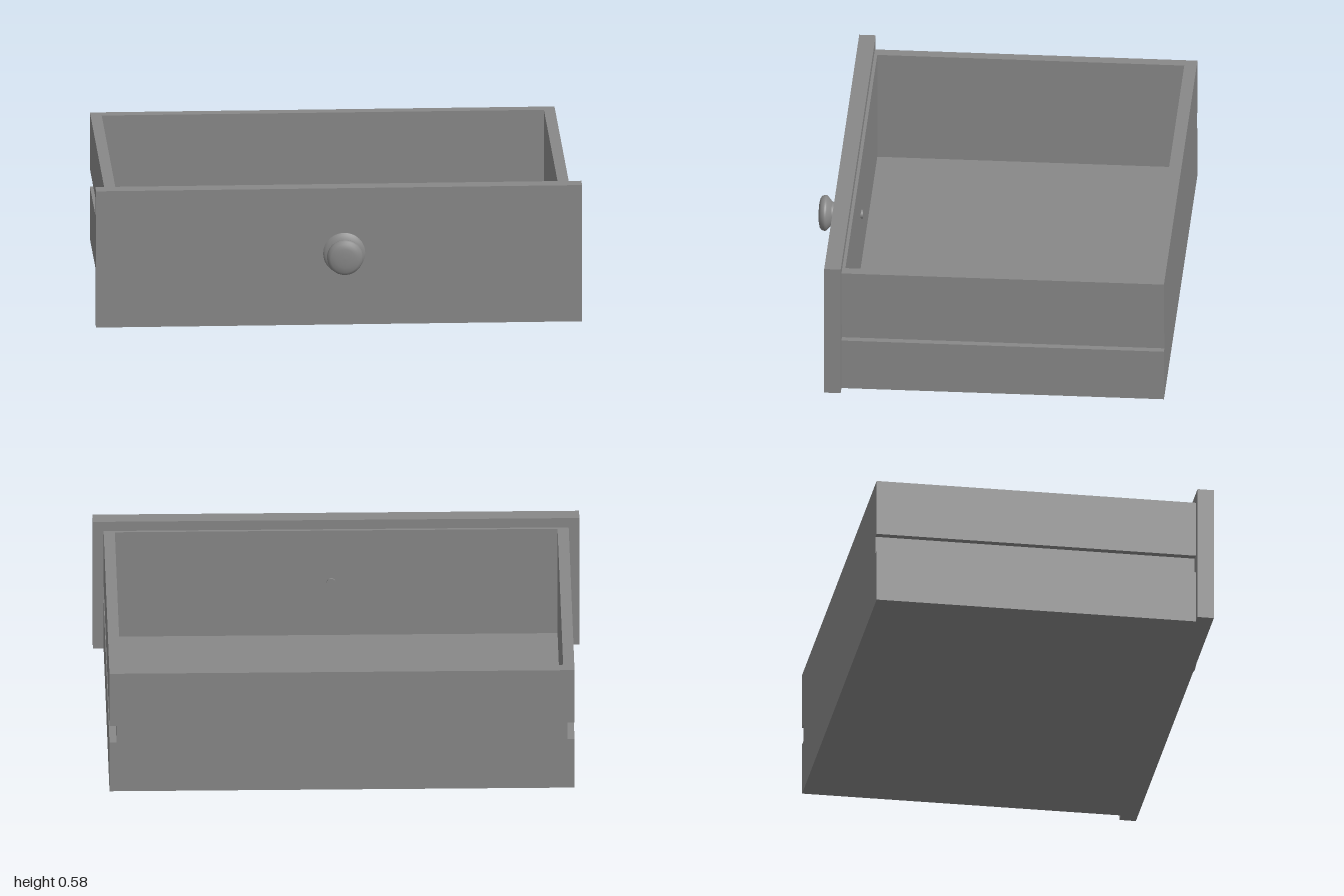
import * as THREE from 'three';

const material = new THREE.MeshStandardMaterial({ color: 0x888888 });

function add(parent, name, geometry, x = 0, y = 0, z = 0) {
  const mesh = new THREE.Mesh(geometry, material);
  mesh.name = name;
  mesh.position.set(x, y, z);
  parent.add(mesh);
  return mesh;
}

// Box given by its lower and upper limits on each axis
function addBoard(parent, name, [x0, x1], [y0, y1], [z0, z1]) {
  return add(parent, name, new THREE.BoxGeometry(x1 - x0, y1 - y0, z1 - z0),
    (x0 + x1) / 2, (y0 + y1) / 2, (z0 + z1) / 2);
}

export function createModel() {
  const model = new THREE.Group();
  model.name = 'drawer';

  const outer = 0.956, inner = 0.91, rim = 0.538, floorTop = 0.06;
  const back = -0.745, panelBack = 0.584, panelFront = 0.652;
  const grooveLow = 0.223, grooveHigh = 0.298, grooveX = outer - 0.029;

  // Side walls and floor: one U section with a runner groove on each side
  const half = [
    [outer, 0], [outer, grooveLow], [grooveX, grooveLow], [grooveX, grooveHigh],
    [outer, grooveHigh], [outer, rim], [inner, rim], [inner, floorTop],
  ];
  const mirrored = half.map(([x, y]) => [-x, y]).reverse();
  const section = new THREE.Shape([...half, ...mirrored].map(([x, y]) => new THREE.Vector2(x, y)));
  const body = new THREE.ExtrudeGeometry(section, { depth: panelBack - back, bevelEnabled: false });
  add(model, 'sidesAndFloor', body, 0, 0, back);

  // End walls between the sides, and the wider front panel
  addBoard(model, 'backWall', [-inner, inner], [floorTop, rim], [back, -0.694]);
  addBoard(model, 'innerFrontWall', [-inner, inner], [floorTop, rim], [0.571, panelBack]);
  addBoard(model, 'frontPanel', [-1, 1], [0, 0.58], [panelBack, panelFront]);

  // Turned knob, lathed in sections so that the edges between them stay sharp
  const knob = new THREE.Group();
  knob.name = 'knob';
  knob.position.set(0.021, 0.303, panelFront);
  knob.rotation.x = Math.PI / 2;
  model.add(knob);

  const sections = {
    knobBaseAndNeck: [[0.088, -0.003], [0.086, 0.002], [0.078, 0.008], [0.06, 0.013],
      [0.047, 0.016], [0.046, 0.026], [0.047, 0.038]],
    knobCap: [[0.047, 0.038], [0.058, 0.046], [0.07, 0.057], [0.074, 0.063], [0.074, 0.069],
      [0.07, 0.08], [0.06, 0.087], [0.04, 0.091], [0.02, 0.0925], [0, 0.093]],
  };
  for (const [name, points] of Object.entries(sections)) {
    add(knob, name, new THREE.LatheGeometry(points.map(([r, h]) => new THREE.Vector2(r, h)), 48));
  }

  // Screw head holding the knob from inside
  const screw = add(model, 'screwHead', new THREE.CylinderGeometry(0.018, 0.018, 0.02, 24), 0.021, 0.303, 0.572);
  screw.rotation.x = Math.PI / 2;

  return model;
}
